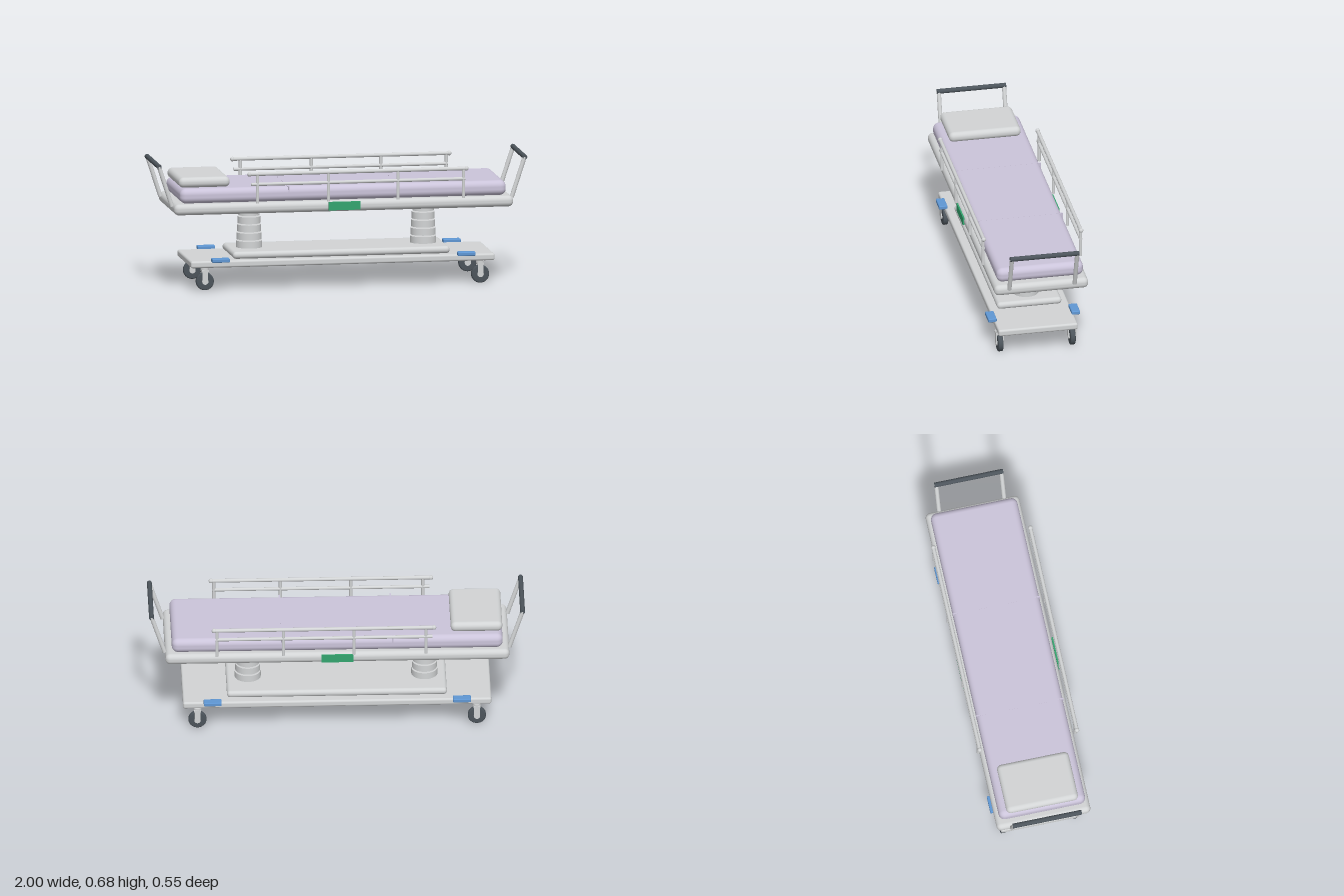
import * as THREE from 'three';
import { RoundedBoxGeometry } from 'three/addons/geometries/RoundedBoxGeometry.js';

const material = (name, color) => {
  const m = new THREE.MeshStandardMaterial({ color });
  m.name = name;
  return m;
};

export function createModel() {
  const model = new THREE.Group();
  model.name = 'patientTrolley';

  const grey = material('lightGrey', 0xd2d4d5);
  const lilac = material('lilac', 0xcbc4da);
  const dark = material('darkGrey', 0x4c545b);
  const blue = material('blue', 0x5f97d4);
  const green = material('green', 0x33a56f);

  const add = (parent, name, geometry, mat, x = 0, y = 0, z = 0) => {
    const mesh = new THREE.Mesh(geometry, mat);
    mesh.name = name;
    mesh.position.set(x, y, z);
    parent.add(mesh);
    return mesh;
  };
  // Rounded slab given by its bottom and top heights
  const slab = (parent, name, mat, w, y0, y1, d, r, x = 0, z = 0) =>
    add(parent, name, new RoundedBoxGeometry(w, y1 - y0, d, 5, r), mat, x, (y0 + y1) / 2, z);
  // Round bar between two points
  const bar = (parent, name, mat, a, b, r) => {
    const from = new THREE.Vector3(...a), to = new THREE.Vector3(...b);
    const dir = to.clone().sub(from);
    const mesh = add(parent, name, new THREE.CylinderGeometry(r, r, dir.length(), 20), mat);
    mesh.position.copy(from).add(to).multiplyScalar(0.5);
    mesh.quaternion.setFromUnitVectors(new THREE.Vector3(0, 1, 0), dir.normalize());
    return mesh;
  };
  const group = (name, parent = model) => {
    const g = new THREE.Group();
    g.name = name;
    parent.add(g);
    return g;
  };

  // Chassis
  slab(model, 'basePlate', grey, 1.64, 0.12, 0.157, 0.43, 0.011);
  slab(model, 'baseCover', grey, 1.17, 0.157, 0.195, 0.35, 0.0185);

  // Bed
  slab(model, 'bedFrame', grey, 1.83, 0.411, 0.47, 0.51, 0.026);
  slab(model, 'mattress', lilac, 1.76, 0.47, 0.55, 0.47, 0.033);
  slab(model, 'pillow', grey, 0.275, 0.55, 0.605, 0.39, 0.026, -0.742);
  for (const x of [-0.295, 0.295]) {
    add(model, 'mattressSeam', new THREE.BoxGeometry(0.007, 0.031, 0.474), lilac, x, 0.535, 0);
  }

  for (const sx of [-1, 1]) {
    // Telescopic lifting column: five spaced collars
    const column = group('liftColumn');
    for (let i = 0; i < 5; i++) {
      const r = 0.07 - i * 0.0032;
      add(column, 'columnCollar', new THREE.CylinderGeometry(r, r, 0.036, 40), grey,
        sx * 0.47, 0.2135 + i * 0.0432, 0);
    }

    // Push handle
    const handle = group('pushHandle');
    for (const sz of [-1, 1]) {
      bar(handle, 'handlePost', grey, [sx * 0.917, 0.452, sz * 0.177], [sx * 0.987, 0.667, sz * 0.177], 0.0115);
    }
    bar(handle, 'handleGrip', dark, [sx * 0.987, 0.667, -0.187], [sx * 0.987, 0.667, 0.187], 0.013);

    for (const sz of [-1, 1]) {
      // Brake pedal
      slab(model, 'brakePedal', blue, 0.095, 0.152, 0.173, 0.046, 0.005, sx * 0.663, sz * 0.226);

      // Caster
      const caster = group('caster');
      caster.position.set(sx * 0.743, 0, sz * 0.196);
      add(caster, 'swivelPlate', new THREE.CylinderGeometry(0.022, 0.022, 0.012, 24), grey, 0, 0.115, 0);
      add(caster, 'forkCrown', new THREE.BoxGeometry(0.036, 0.01, 0.044), grey, 0, 0.105, 0);
      for (const side of [-1, 1]) {
        add(caster, 'forkArm', new THREE.BoxGeometry(0.03, 0.062, 0.005), grey, 0, 0.077, side * 0.0195);
        const hub = add(caster, 'hub', new THREE.CylinderGeometry(0.017, 0.017, 0.006, 24), grey, 0, 0.048, side * 0.016);
        hub.rotation.x = Math.PI / 2;
      }
      // Tyre with softened shoulders
      const profile = [[0, -0.014], [0.042, -0.014], [0.046, -0.012], [0.048, -0.008],
        [0.048, 0.008], [0.046, 0.012], [0.042, 0.014], [0, 0.014]]
        .map(([r, y]) => new THREE.Vector2(r, y));
      const tyre = add(caster, 'tyre', new THREE.LatheGeometry(profile, 36), dark, 0, 0.048, 0);
      tyre.rotation.x = Math.PI / 2;
    }
  }

  for (const sz of [-1, 1]) {
    // Side rail
    const rail = group('sideRail');
    const z = sz * 0.264;
    bar(rail, 'topRail', grey, [-0.515, 0.627, z], [0.66, 0.627, z], 0.01);
    bar(rail, 'middleRail', grey, [-0.505, 0.572, z], [0.65, 0.572, z], 0.009);
    for (const x of [-0.513, 0.657]) {
      add(rail, 'railEnd', new THREE.SphereGeometry(0.0125, 20, 14), grey, x, 0.627, z);
    }
    for (const x of [-0.47, -0.087, 0.288, 0.642]) {
      bar(rail, 'railPost', grey, [x, 0.47, z], [x, 0.627, z], 0.0085);
    }

    // Side plaque
    add(model, 'sidePlaque', new THREE.BoxGeometry(0.17, 0.045, 0.008), green, 0, 0.443, sz * 0.258);
  }

  return model;
}
